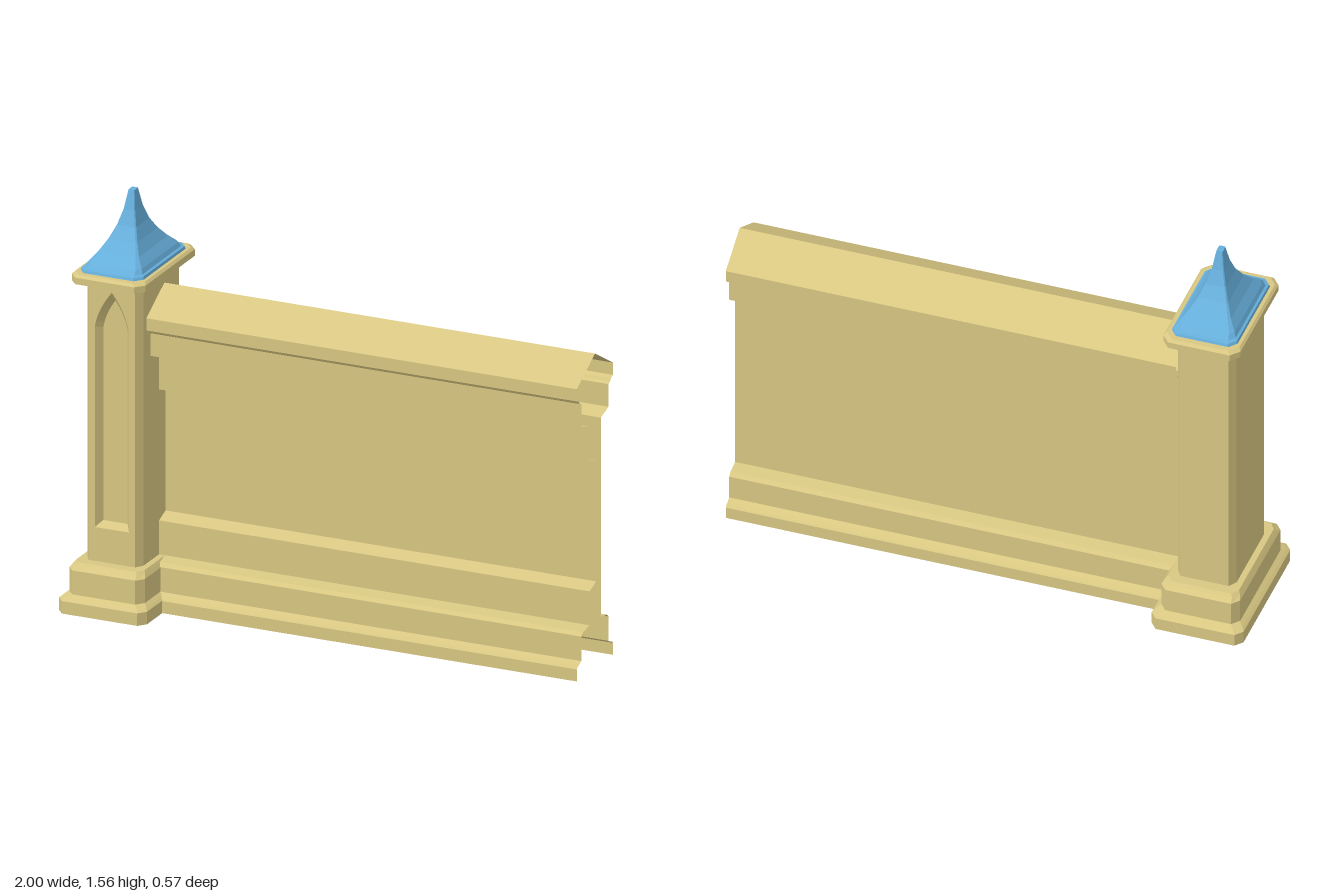
import * as THREE from 'three';

const stone = new THREE.MeshStandardMaterial({ color: 0xd8c782, flatShading: true, side: THREE.DoubleSide });
const slate = new THREE.MeshStandardMaterial({ color: 0x66afdc, flatShading: true, side: THREE.DoubleSide });

// Joins cross-sections of equal length with quads; skip leaves out one side.
function loft(rings, closed = true, skip = -1) {
  const n = rings[0].length, pos = rings.flat(2), idx = [];
  for (let r = 0; r < rings.length - 1; r++) {
    for (let i = 0; i < (closed ? n : n - 1); i++) {
      if (i === skip) continue;
      const a = r * n + i, b = r * n + (i + 1) % n;
      idx.push(a, b, b + n, a, b + n, a + n);
    }
  }
  const g = new THREE.BufferGeometry();
  g.setAttribute('position', new THREE.Float32BufferAttribute(pos, 3));
  g.setIndex(idx);
  g.computeVertexNormals();
  return g;
}

// Rectangle with cut corners; side 0 is the front face.
function octagon([y, hx, hz, cx = 0.02, cz = 0.03]) {
  return [
    [-hx + cx, y, hz], [hx - cx, y, hz], [hx, y, hz - cz], [hx, y, -hz + cz],
    [hx - cx, y, -hz], [-hx + cx, y, -hz], [-hx, y, -hz + cz], [-hx, y, hz - cz],
  ];
}

// Pointed arch outline, counter-clockwise from the lower left.
function arch(w, bottom, spring, apex) {
  const pts = [[-w, bottom], [w, bottom]], steps = 6;
  const side = [];
  for (let i = 0; i < steps; i++) {
    const t = i / steps;
    side.push([w * (1 - 0.35 * t - 0.65 * t * t), spring + (apex - spring) * t]);
  }
  pts.push(...side, [0, apex], ...side.reverse().map(([x, y]) => [-x, y]));
  return pts;
}

function toShape(pts, Type = THREE.Shape) {
  return new Type(pts.map(([x, y]) => new THREE.Vector2(x, y)));
}

function add(group, name, geometry, material = stone) {
  const mesh = new THREE.Mesh(geometry, material);
  mesh.name = name;
  group.add(mesh);
  return mesh;
}

function createPillar() {
  const pillar = new THREE.Group();
  pillar.name = 'pillar';

  // Stepped plinth
  add(pillar, 'plinth', loft([
    [0, 0.175, 0.285, 0.025, 0.03], [0.048, 0.175, 0.285, 0.025, 0.03],
    [0.056, 0.165, 0.27, 0.025, 0.03], [0.066, 0.15, 0.25, 0.025, 0.03],
    [0.158, 0.15, 0.25, 0.025, 0.03], [0.17, 0.142, 0.23], [0.18, 0.135, 0.22], [0.18, 0.112, 0.18],
  ].map(octagon)));

  // Shaft, with its front face pierced for the niche
  const hx = 0.112, hz = 0.18, y0 = 0.18, y1 = 1.255, f = hx - 0.02;
  add(pillar, 'shaft', loft([octagon([y0, hx, hz]), octagon([y1, hx, hz])], true, 0));
  const outer = arch(0.068, 0.31, 1.08, 1.22);
  const inner = arch(0.048, 0.33, 1.07, 1.18);
  const face = toShape([[-f, y0], [f, y0], [f, y1], [-f, y1]]);
  face.holes.push(toShape(outer, THREE.Path));
  add(pillar, 'shaftFront', new THREE.ShapeGeometry(face)).position.z = hz;

  // Niche reveal and recessed panel
  const depth = hz - 0.03;
  add(pillar, 'nicheReveal', loft([
    outer.map(([x, y]) => [x, y, hz]), inner.map(([x, y]) => [x, y, depth]),
  ]));
  add(pillar, 'nichePanel', new THREE.ShapeGeometry(toShape(inner))).position.z = depth;

  // Cap slab
  add(pillar, 'cap', loft([
    [1.255, 0.112, 0.18], [1.255, 0.147, 0.242, 0.03, 0.035], [1.28, 0.147, 0.242, 0.03, 0.035],
    [1.289, 0.138, 0.23, 0.03, 0.035], [1.289, 0.11, 0.19],
  ].map(octagon)));

  // Swept roof with a small flat tip
  const roof = [
    [1.289, 0.125, 0.208, 0.025, 0.03], [1.299, 0.122, 0.204, 0.025, 0.03],
    [1.302, 0.113, 0.188, 0.02, 0.025], [1.318, 0.105, 0.172, 0.015, 0.02],
    [1.35, 0.08, 0.132, 0.008, 0.01], [1.39, 0.057, 0.092, 0.005, 0.007],
    [1.435, 0.038, 0.06, 0.004, 0.005], [1.49, 0.023, 0.036, 0.003, 0.004],
    [1.56, 0.012, 0.017, 0.002, 0.003], [1.56, 0.001, 0.001, 0, 0],
  ];
  add(pillar, 'roof', loft(roof.map(octagon)), slate);
  return pillar;
}

function createWall() {
  const wall = new THREE.Group();
  wall.name = 'wall';
  // Sweeps an open [z, y] profile along the wall.
  const sweep = (profile) => loft([-0.715, 1].map((x) => profile.map(([z, y]) => [x, y, z])), false);
  const mid = -0.025;
  const base = [[0.115, 0.16], [0.115, 0.066], [0.13, 0.058], [0.147, 0.052], [0.152, 0.046], [0.152, 0]];
  const crown = [[0, 1.208], [0.152, 1.122], [0.152, 1.075], [0.135, 1.068], [0.128, 1.058], [0.115, 1.052], [0.115, 0.965]];

  // Front: coping, frieze, framed recessed panel, plinth
  const front = [
    ...crown, [0.1, 0.96], [0.045, 0.945], [0.045, 0.813], [-0.01, 0.797],
    [-0.01, 0.33], [0.045, 0.31], [0.045, 0.18], [0.1, 0.172], ...base,
  ];
  add(wall, 'wallFront', sweep(front.map(([z, y]) => [mid + z, y])));

  // Back: same coping and plinth with a plain face between
  const back = [...crown, [0.1, 0.96], [0.05, 0.945], [0.05, 0.18], [0.1, 0.172], ...base];
  add(wall, 'wallBack', sweep(back.map(([z, y]) => [mid - z, y]).reverse()));
  return wall;
}

export function createModel() {
  const model = new THREE.Group();
  model.name = 'wallWithPillar';
  const pillar = createPillar();
  pillar.position.x = -0.825;
  model.add(pillar, createWall());
  return model;
}
